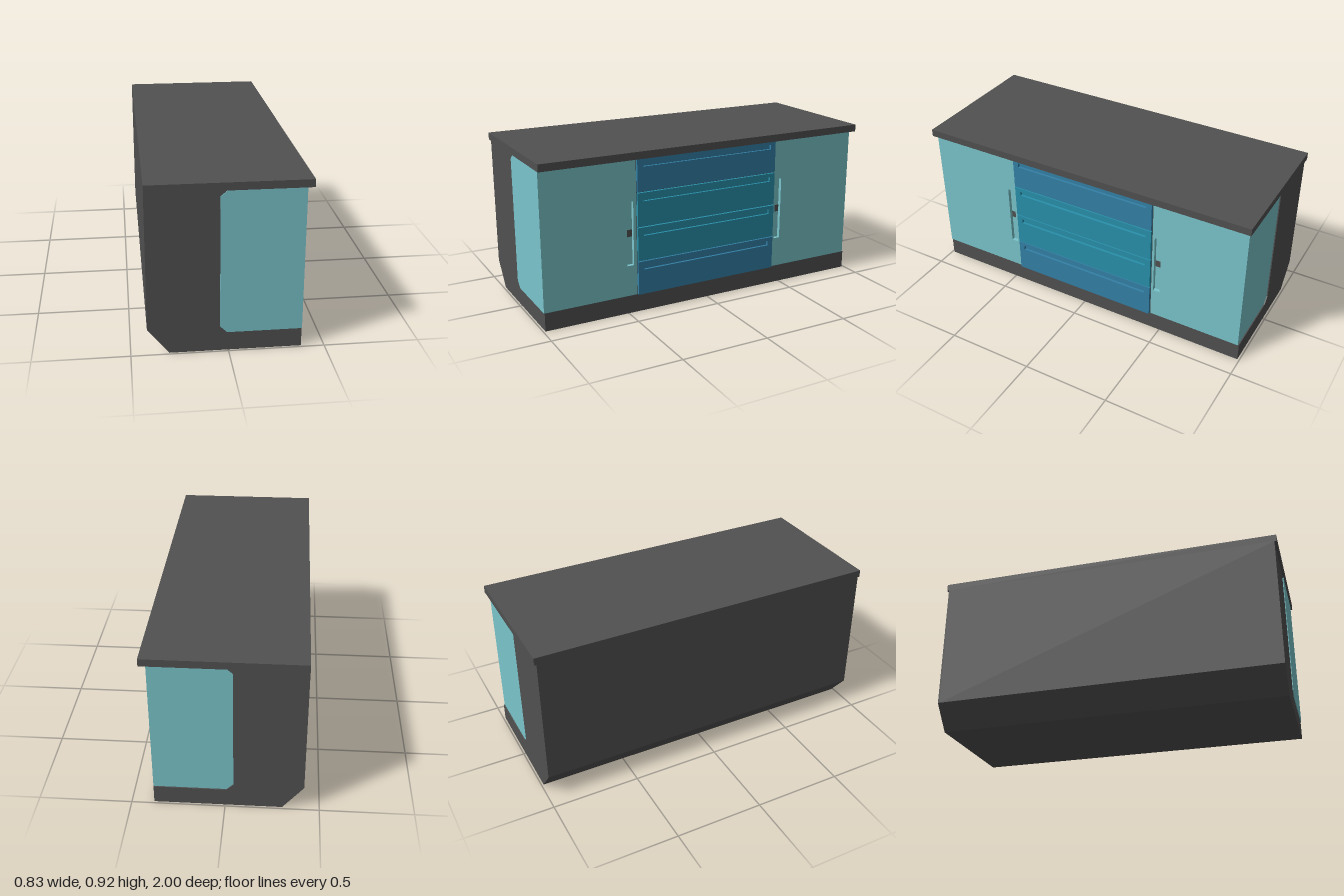
import * as THREE from 'three';

const mat = (color) => new THREE.MeshStandardMaterial({ color });
const dark = mat(0x515151), teal = mat(0x7ac5cb), blue = mat(0x3380a6), cyan = mat(0x2890aa);

const shapeOf = (pts) => new THREE.Shape(pts.map(([x, y]) => new THREE.Vector2(x, y)));

export function createModel() {
  const model = new THREE.Group();

  const add = (name, geometry, material) => {
    const mesh = new THREE.Mesh(geometry, material);
    mesh.name = name;
    model.add(mesh);
    return mesh;
  };

  // box given by its min and max corners
  const box = (name, material, [x0, y0, z0], [x1, y1, z1]) =>
    add(name, new THREE.BoxGeometry(x1 - x0, y1 - y0, z1 - z0), material)
      .position.set((x0 + x1) / 2, (y0 + y1) / 2, (z0 + z1) / 2);

  // x/y profile extruded from z0 to z1
  const alongZ = (name, material, pts, z0, z1) =>
    add(name, new THREE.ExtrudeGeometry(shapeOf(pts), { depth: z1 - z0, bevelEnabled: false }), material)
      .position.z = z0;

  // upright panel facing +x with a rectangular slot; rectangles are [z0, z1, y0, y1]
  const rect = ([z0, z1, y0, y1]) => [[-z1, y0], [-z0, y0], [-z0, y1], [-z1, y1]];
  const slottedPanel = (name, material, outer, slot, x0, x1) => {
    const shape = shapeOf(rect(outer));
    shape.holes.push(shapeOf(rect(slot)));
    const g = new THREE.ExtrudeGeometry(shape, { depth: x1 - x0, bevelEnabled: false });
    add(name, g.rotateY(Math.PI / 2), material).position.x = x0;
  };

  // body with a slanted lower rear edge, cut back above the plinth
  const rear = [[0.38, 0], [0.38, 0.104], [0.35, 0.104], [0.35, 0.88], [-0.415, 0.88], [-0.415, 0.14], [-0.303, 0]];
  alongZ('body', dark, rear, -0.978, 0.988);
  const endFrame = [[0.38, 0], [0.38, 0.104], [-0.007, 0.104], [-0.044, 0.14], [-0.044, 0.848],
    [-0.007, 0.88], [-0.415, 0.88], [-0.415, 0.14], [-0.303, 0]];
  alongZ('endFrame', dark, endFrame, -0.988, -0.978);
  box('drawerCarcass', dark, [0.34, 0.104, -0.45], [0.379, 0.88, 0.45]);
  box('countertop', dark, [-0.415, 0.88, -1], [0.415, 0.921, 1]);

  // corner cabinets with chamfered end panels, slotted doors and latches
  const cabinet = [[0.36, 0.104], [0.36, 0.88], [-0.007, 0.88], [-0.044, 0.848], [-0.044, 0.14], [-0.007, 0.104]];
  for (const [z0, z1, h] of [[0.447, 0.992, 0.485], [-0.982, -0.442, -0.475]]) {
    alongZ('cornerCabinet', teal, cabinet, z0, z1);
    slottedPanel('cabinetDoor', teal, [z0, z1, 0.104, 0.88], [h - 0.02, h + 0.02, 0.28, 0.645], 0.36, 0.381);
    box('doorLatch', dark, [0.355, 0.44, h - 0.02], [0.362, 0.48, h + 0.02]);
  }

  // four drawers with recessed grips
  [[0.104, 0.296, blue], [0.301, 0.492, cyan], [0.498, 0.688, cyan], [0.694, 0.88, blue]].forEach(([y0, y1, m]) => {
    const g0 = y1 - 0.048, g1 = y1 - 0.021;
    slottedPanel('drawerFront', m, [-0.438, 0.444, y0, y1], [-0.405, 0.41, g0, g1], 0.377, 0.394);
    box('drawerGripBack', m, [0.375, g0, -0.405], [0.38, g1, 0.41]);
  });

  return model;
}
